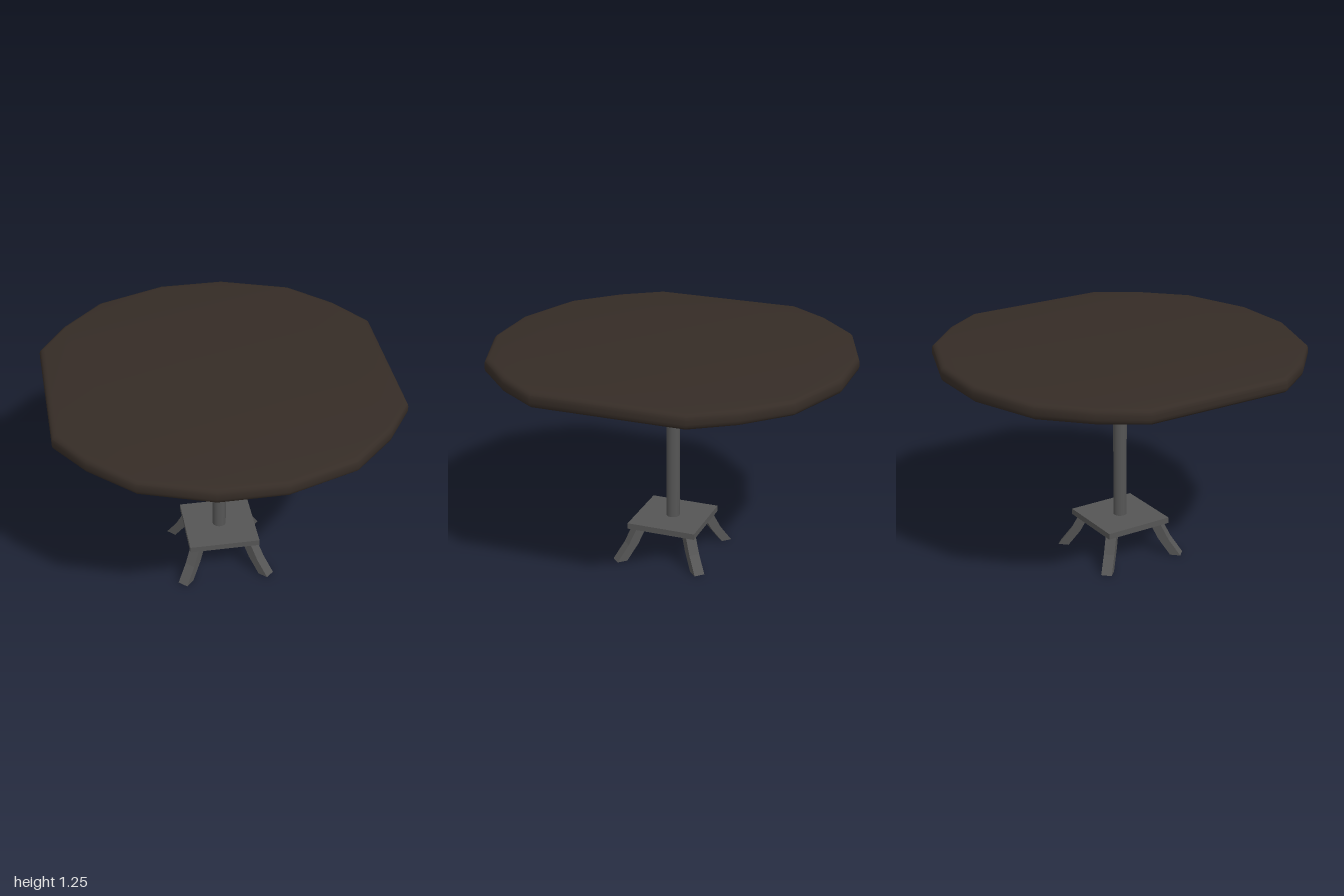
import * as THREE from 'three';
import { toCreasedNormals } from 'three/addons/utils/BufferGeometryUtils.js';

const wood = new THREE.MeshStandardMaterial({ color: 0x352c26 });
const metal = new THREE.MeshStandardMaterial({ color: 0x555555 });

function part(name, geometry, material, y = 0) {
  const mesh = new THREE.Mesh(geometry, material);
  mesh.name = name;
  mesh.position.y = y;
  return mesh;
}

// Many-sided top with a rounded rim, from one mirrored quarter outline
function tabletopGeometry() {
  const quarter = [[0.935, 0.42], [0.785, 0.645], [0.56, 0.865], [0.18, 1]];
  const flip = (sx, sy) => quarter.map(([x, y]) => new THREE.Vector2(x * sx, y * sy));
  const outline = [
    ...flip(1, 1), ...flip(-1, 1).reverse(),
    ...flip(-1, -1), ...flip(1, -1).reverse(),
  ];
  const bevel = 0.03, thickness = 0.085;
  const geo = new THREE.ExtrudeGeometry(new THREE.Shape(outline), {
    depth: thickness - 2 * bevel,
    bevelSize: bevel, bevelThickness: bevel, bevelOffset: -bevel, bevelSegments: 3,
  });
  geo.rotateX(-Math.PI / 2);
  geo.translate(0, bevel, 0);
  return toCreasedNormals(geo, 0.6);
}

// Square bar splaying outward along +x, with a slight bend halfway down
function legGeometry() {
  const height = 0.19, size = 0.06;
  const geo = new THREE.BoxGeometry(size, height, size, 1, 2, 1);
  geo.translate(0, height / 2, 0);
  const pos = geo.attributes.position;
  for (let i = 0; i < pos.count; i++) {
    const t = 1 - pos.getY(i) / height;
    pos.setX(i, pos.getX(i) + 0.21 + 0.12 * t - 0.04 * t * (1 - t));
  }
  return toCreasedNormals(geo, 0.1);
}

export function createModel() {
  const model = new THREE.Group();
  model.name = 'pedestalTable';

  model.add(part('tabletop', tabletopGeometry(), wood, 1.16));
  model.add(part('pole', new THREE.CylinderGeometry(0.038, 0.038, 0.95, 32), metal, 0.695));
  model.add(part('basePlate', new THREE.BoxGeometry(0.4, 0.034, 0.4), metal, 0.203));

  // Four legs under the corners of the plate
  const leg = legGeometry();
  for (let i = 0; i < 4; i++) {
    const mesh = part('leg' + (i + 1), leg, metal);
    mesh.rotation.y = Math.PI / 4 + i * Math.PI / 2;
    model.add(mesh);
  }
  return model;
}
